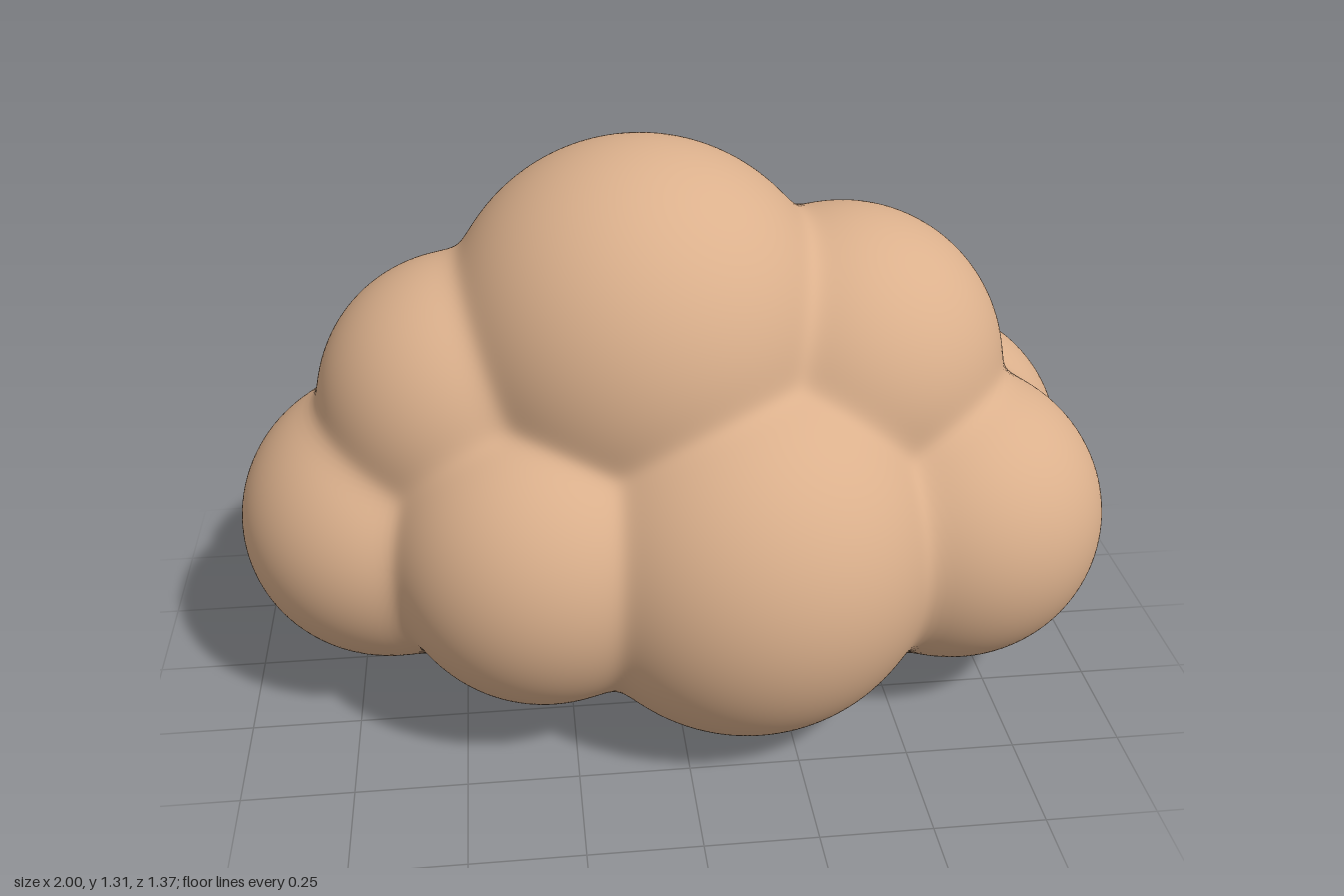
import * as THREE from 'three';
import { mergeVertices } from 'three/addons/utils/BufferGeometryUtils.js';

// Puffs: centre x, y, z and radii x, y, z
const puffs = [
  [-0.06, 0.865, 0, 0.45, 0.45, 0.45],   // crown
  [0.41, 0.77, 0, 0.37, 0.37, 0.38],     // left shoulder
  [-0.46, 0.72, 0, 0.34, 0.34, 0.34],    // right shoulder
  [-0.65, 0.43, 0, 0.35, 0.33, 0.37],    // right end
  [-0.38, 0.345, 0, 0.33, 0.33, 0.33],   // underside
];
for (const s of [1, -1]) {
  puffs.push([-0.3, 0.455, s * 0.235, 0.355, 0.355, 0.355]); // small side puff
  puffs.push([0.155, 0.445, s * 0.245, 0.44, 0.44, 0.44]);   // large side puff
  puffs.push([0.645, 0.45, s * 0.165, 0.355, 0.345, 0.355]); // left end
}

// Distance to all puffs, softly blended where they meet
const BLEND = 0.015;
function distance(p) {
  let sum = 0;
  for (const [x, y, z, rx, ry, rz] of puffs) {
    const q = Math.hypot((p.x - x) / rx, (p.y - y) / ry, (p.z - z) / rz);
    sum += Math.exp(-(q - 1) * Math.min(rx, ry, rz) / BLEND);
  }
  return -BLEND * Math.log(sum + 1e-300);
}

// One closed skin: each direction from the core is marched inward to the surface
function cloudGeometry() {
  const sphere = new THREE.IcosahedronGeometry(1, 64);
  sphere.deleteAttribute('normal');
  sphere.deleteAttribute('uv');
  const geometry = mergeVertices(sphere, 1e-5);
  const pos = geometry.attributes.position;
  const core = new THREE.Vector3(0, 0.5, 0);
  const dir = new THREE.Vector3();
  const p = new THREE.Vector3();
  for (let i = 0; i < pos.count; i++) {
    dir.fromBufferAttribute(pos, i).normalize();
    let t = 1.2;
    for (let step = 0; step < 80; step++) {
      const d = distance(p.copy(core).addScaledVector(dir, t));
      if (Math.abs(d) < 1e-5) break;
      t -= d * 0.95;
    }
    p.copy(core).addScaledVector(dir, t);
    pos.setXYZ(i, p.x, p.y, p.z);
  }
  geometry.computeVertexNormals();
  return geometry;
}

export function createModel() {
  const group = new THREE.Group();
  group.name = 'puffyCloud';
  const tan = new THREE.MeshStandardMaterial({ color: 0xdbb08c });
  tan.name = 'warm tan';
  const cloud = new THREE.Mesh(cloudGeometry(), tan);
  cloud.name = 'cloudBody';
  group.add(cloud);
  return group;
}
